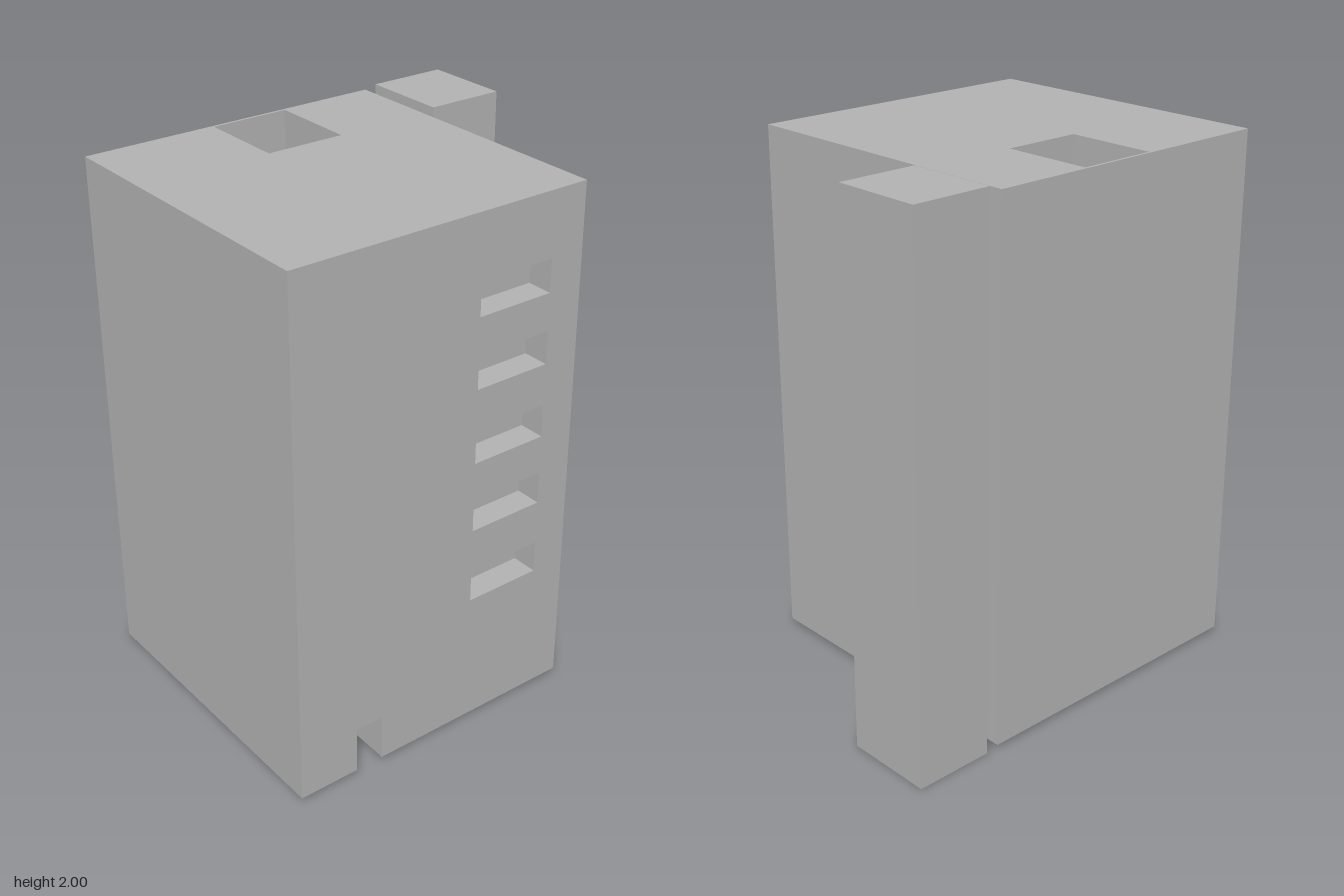
import * as THREE from 'three';
import { mergeGeometries } from 'three/addons/utils/BufferGeometryUtils.js';

const X0 = -0.585, X1 = 0.585, Y0 = 0.02, Y1 = 1.985, Z0 = -0.415, Z1 = 0.755;
const grey = new THREE.MeshStandardMaterial({ color: 0xb2b2b2 });
grey.name = 'grey';

const rect = (a0, b0, a1, b1) => [[a0, b0], [a1, b0], [a1, b1], [a0, b1]];
const toPath = (pts) => pts.map(([a, b]) => new THREE.Vector2(a, b));

// flat wall from an outline with rectangular openings
function panel(outline, holes = []) {
  const shape = new THREE.Shape(toPath(outline));
  for (const h of holes) shape.holes.push(new THREE.Path(toPath(h)));
  return new THREE.ShapeGeometry(shape);
}

// inside of a box, with the listed sides left open
const SIDES = ['+x', '-x', '+y', '-y', '+z', '-z'];
function pit([x0, x1], [y0, y1], [z0, z1], open) {
  const g = new THREE.BoxGeometry(x1 - x0, y1 - y0, z1 - z0);
  g.translate((x0 + x1) / 2, (y0 + y1) / 2, (z0 + z1) / 2);
  const idx = [];
  SIDES.forEach((side, s) => {
    if (open.includes(side)) return;
    for (let k = s * 6; k < s * 6 + 6; k += 3) {
      idx.push(g.index.getX(k), g.index.getX(k + 2), g.index.getX(k + 1));
    }
  });
  g.setIndex(idx);
  g.clearGroups();
  const n = g.attributes.normal;
  for (let i = 0; i < n.array.length; i++) n.array[i] *= -1;
  return g;
}

export function createModel() {
  const model = new THREE.Group();
  model.name = 'towerBlock';
  const add = (name, geometry) => {
    const mesh = new THREE.Mesh(geometry, grey);
    mesh.name = name;
    model.add(mesh);
  };

  const windowBottoms = [0.525, 0.815, 1.083, 1.363, 1.625];
  const winH = 0.123, winZ = [-0.28, 0.02];
  const doorZ = [0.41, 0.52], doorTop = 0.2;
  const lobbyX = [-0.575, 0.36], lobbyZ = [0.25, 0.745];
  const shaftX = [-0.575, -0.237], shaftZ = [-0.045, 0.255];

  // plain outer walls
  add('frontWall', panel(rect(X0, Y0, X1, Y1)).translate(0, 0, Z1));
  add('backWall', panel(rect(-X1, Y0, -X0, Y1)).rotateY(Math.PI).translate(0, 0, Z0));
  add('rightWall', panel(rect(Z0, Y0, Z1, Y1)).rotateY(-Math.PI / 2).translate(X0, 0, 0));

  // wall with the windows and the doorway
  add('windowWall', panel(
    [[-Z1, Y0], [-doorZ[1], Y0], [-doorZ[1], doorTop], [-doorZ[0], doorTop],
      [-doorZ[0], Y0], [-Z0, Y0], [-Z0, Y1], [-Z1, Y1]],
    windowBottoms.map((y) => rect(-winZ[1], y, -winZ[0], y + winH)),
  ).rotateY(Math.PI / 2).translate(X1, 0, 0));
  add('windowRecesses', mergeGeometries(
    windowBottoms.map((y) => pit([X1 - 0.1, X1], [y, y + winH], winZ, ['+x'])),
  ));

  // roof with the shaft opening
  add('roof', panel(
    rect(X0, -Z1, X1, -Z0),
    [rect(shaftX[0], -shaftZ[1], shaftX[1], -shaftZ[0])],
  ).rotateX(-Math.PI / 2).translate(0, Y1, 0));
  add('shaft', pit(shaftX, [0.04, Y1], shaftZ, ['+y']));

  // sloping step at the foot of the shaft
  const wedge = new THREE.Shape(toPath([[-0.035, 0.04], [0.045, 0.04], [0.045, 0.1]]));
  add('shaftRamp', new THREE.ExtrudeGeometry(wedge, { depth: 0.25, bevelEnabled: false })
    .rotateY(Math.PI / 2).translate(-0.54, 0, 0));

  // underside, cut by the lobby and its passage to the doorway
  add('underside', panel([
    [X0, Z0], [X1, Z0], [X1, doorZ[0]], [lobbyX[1], doorZ[0]], [lobbyX[1], lobbyZ[0]],
    [lobbyX[0], lobbyZ[0]], [lobbyX[0], lobbyZ[1]], [lobbyX[1], lobbyZ[1]],
    [lobbyX[1], doorZ[1]], [X1, doorZ[1]], [X1, Z1], [X0, Z1],
  ]).rotateX(Math.PI / 2).translate(0, Y0, 0));
  const lobbyY = [Y0, doorTop];
  add('lobby', mergeGeometries([
    pit(lobbyX, lobbyY, [lobbyZ[0], doorZ[0]], ['-y', '+z']),
    pit(lobbyX, lobbyY, doorZ, ['+x', '-y', '+z', '-z']),
    pit(lobbyX, lobbyY, [doorZ[1], lobbyZ[1]], ['-y', '-z']),
  ]));
  add('doorPassage', pit([lobbyX[1], X1], lobbyY, doorZ, ['+x', '-x', '-y']));

  // free-standing column behind the block
  add('rearColumn', new THREE.BoxGeometry(0.338, 2, 0.3).translate(-0.406, 1, -0.605));

  return model;
}
